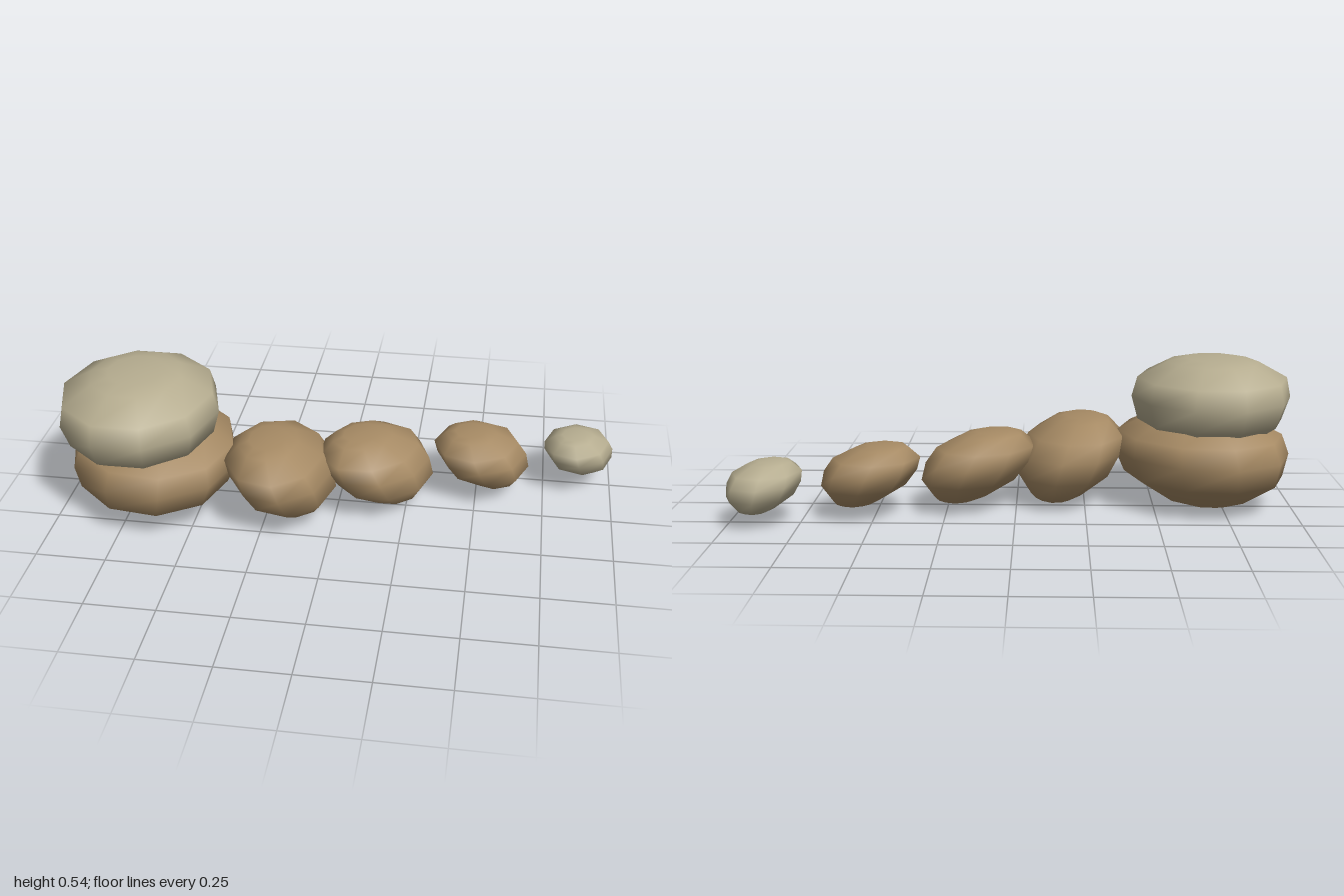
import * as THREE from 'three';

// Shared stone profile: [height fraction, girth fraction] from bottom to top
const PROFILE = [[0.01, 0.3], [0.07, 0.5], [0.32, 0.91], [0.57, 1], [0.78, 0.94], [0.95, 0.57], [0.99, 0.35]];

// Lofts a skewed oval outline up the profile, then sizes the stone to its ranges.
// lean moves the top relative to the bottom, in half-widths
function stoneGeometry({ x, y, z, lean, skew, sides }) {
  const pos = [], idx = [];
  for (const [t, girth] of PROFILE) {
    for (let i = 0; i < sides; i++) {
      const a = (i / sides) * Math.PI * 2;
      pos.push(
        lean[0] * (t - 0.5) + girth * Math.cos(a),
        t,
        lean[1] * (t - 0.5) + girth * Math.sin(a + skew),
      );
    }
  }
  // bottom and top tips
  pos.push(-lean[0] / 2, 0, -lean[1] / 2, lean[0] / 2, 1, lean[1] / 2);

  // side faces, then the two caps as fans
  const last = sides * (PROFILE.length - 1);
  const bottom = last + sides, top = bottom + 1;
  for (let i = 0; i < sides; i++) {
    const j = (i + 1) % sides;
    for (let k = 0; k < last; k += sides) {
      idx.push(k + i, k + sides + i, k + j, k + j, k + sides + i, k + sides + j);
    }
    idx.push(bottom, i, j, top, last + j, last + i);
  }
  const g = new THREE.BufferGeometry();
  g.setAttribute('position', new THREE.Float32BufferAttribute(pos, 3));
  g.setIndex(idx);

  g.computeBoundingBox();
  const { min, max } = g.boundingBox;
  g.translate(-min.x, -min.y, -min.z);
  g.scale(
    (x[1] - x[0]) / (max.x - min.x),
    (y[1] - y[0]) / (max.y - min.y),
    (z[1] - z[0]) / (max.z - min.z),
  );
  g.translate(x[0], y[0], z[0]);
  g.computeVertexNormals();
  return g;
}

export function createModel() {
  const group = new THREE.Group();
  const brown = new THREE.MeshStandardMaterial({ color: 0xa68a64 });
  brown.name = 'brownStone';
  const pale = new THREE.MeshStandardMaterial({ color: 0xb6ad90 });
  pale.name = 'paleStone';

  const addStone = (name, material, shape) => {
    const mesh = new THREE.Mesh(stoneGeometry(shape), material);
    mesh.name = name;
    group.add(mesh);
  };

  // two large stones, one stacked on the other
  addStone('baseStone', brown,
    { x: [-0.99, -0.36], y: [0, 0.342], z: [-0.27, 0.395], lean: [0.12, 0], skew: 0.12, sides: 10 });
  addStone('topStone', pale,
    { x: [-1, -0.42], y: [0.2, 0.539], z: [-0.22, 0.4], lean: [-0.04, 0], skew: 0, sides: 10 });

  // trail of shrinking stones, ending in a pale one
  addStone('secondStone', brown,
    { x: [-0.385, 0], y: [0.01, 0.32], z: [-0.16, 0.345], lean: [-0.55, 0.25], skew: 0, sides: 9 });
  addStone('thirdStone', brown,
    { x: [-0.06, 0.342], y: [0.025, 0.287], z: [-0.225, 0.167], lean: [-0.7, 0.05], skew: -0.2, sides: 9 });
  addStone('fourthStone', brown,
    { x: [0.338, 0.69], y: [0.04, 0.26], z: [-0.312, 0.02], lean: [-0.65, 0.08], skew: -0.08, sides: 8 });
  addStone('endStone', pale,
    { x: [0.743, 1], y: [0.047, 0.222], z: [-0.4, -0.11], lean: [-0.4, 0.4], skew: -0.12, sides: 8 });
  return group;
}
